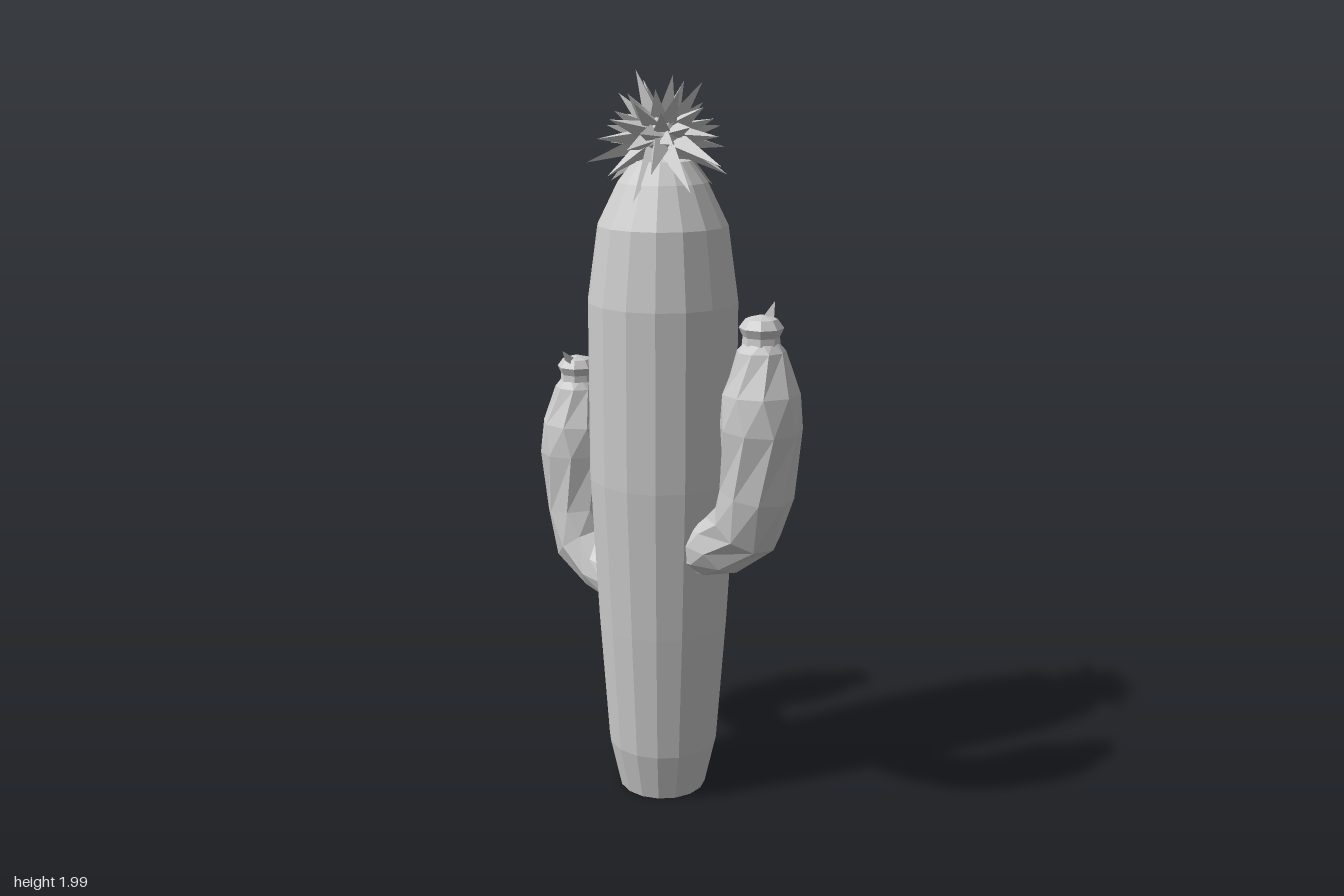
import * as THREE from 'three';

const mat = new THREE.MeshStandardMaterial({ color: 0xcccccc, flatShading: true });

function part(name, geometry, parent) {
  const mesh = new THREE.Mesh(geometry, mat);
  mesh.name = name;
  parent.add(mesh);
  return mesh;
}

function lathe(points, sides) {
  return new THREE.LatheGeometry(points.map(([r, y]) => new THREE.Vector2(r, y)), sides);
}

// Faceted limb: rings of varying radius following [x, y, radius] stations
function limb(stations, sides) {
  const pos = [], idx = [];
  stations.forEach(([x, y, r], i) => {
    const a = stations[Math.max(i - 1, 0)], b = stations[Math.min(i + 1, stations.length - 1)];
    const t = new THREE.Vector2(b[0] - a[0], b[1] - a[1]).normalize();
    for (let j = 0; j < sides; j++) {
      const ang = ((j + (i % 2) * 0.35) / sides) * Math.PI * 2;
      const c = Math.cos(ang) * r;
      pos.push(x + t.y * c, y - t.x * c, -Math.sin(ang) * r);
    }
  });
  for (let i = 0; i < stations.length - 1; i++) {
    for (let j = 0; j < sides; j++) {
      const k = (j + 1) % sides;
      const a = i * sides + j, b = i * sides + k, c = a + sides, d = b + sides;
      idx.push(a, b, d, a, d, c);
    }
  }
  // Close both ends
  const last = (stations.length - 1) * sides;
  for (let j = 1; j < sides - 1; j++) {
    idx.push(0, j + 1, j, last, last + j, last + j + 1);
  }
  const g = new THREE.BufferGeometry();
  g.setAttribute('position', new THREE.Float32BufferAttribute(pos, 3));
  g.setIndex(idx);
  g.computeVertexNormals();
  return g;
}

// Three-sided spike from a point along a direction
function spike(name, origin, dir, radius, length, parent) {
  const g = new THREE.ConeGeometry(radius, length, 3, 1).translate(0, length / 2, 0);
  const m = part(name, g, parent);
  m.position.copy(origin);
  m.quaternion.setFromUnitVectors(new THREE.Vector3(0, 1, 0), dir.clone().normalize());
  return m;
}

// Upturned arm with a bud and a single thorn
function arm(name, root) {
  const group = new THREE.Group();
  group.name = name;
  part(name + 'Limb', limb([
    ...root, [0.345, 0.86, 0.094], [0.378, 0.96, 0.097],
    [0.39, 1.13, 0.106], [0.388, 1.22, 0.099], [0.386, 1.325, 0.062], [0.385, 1.352, 0.04],
  ], 9), group);
  const bud = part(name + 'Bud', lathe([
    [0, 1.34], [0.048, 1.343], [0.046, 1.362], [0.056, 1.384], [0.04, 1.406], [0, 1.417],
  ], 8), group);
  bud.position.x = 0.385;
  spike(name + 'Thorn', new THREE.Vector3(0.382, 1.385, -0.015),
    new THREE.Vector3(-0.02, 0.055, -0.052), 0.022, 0.078, group);
  return group;
}

export function createModel() {
  const model = new THREE.Group();
  model.name = 'cactus';

  // Trunk
  const trunk = part('trunk', lathe([
    [0, 0], [0.122, 0], [0.153, 0.14], [0.178, 0.5], [0.2, 0.92], [0.2, 1.4],
    [0.172, 1.6], [0.118, 1.71], [0.075, 1.765], [0, 1.77],
  ], 16), model);
  trunk.position.x = 0.004;

  // Arms: the right one is turned half round and set lower
  model.add(arm('leftArm', [[0.1, 0.735, 0.06], [0.19, 0.755, 0.073], [0.26, 0.79, 0.084]]));
  const right = arm('rightArm', [[0.1, 0.755, 0.06], [0.18, 0.785, 0.07], [0.26, 0.81, 0.08]]);
  right.rotation.y = Math.PI;
  right.position.y = -0.228;
  model.add(right);

  // Spiky crown: spikes spread evenly, longer towards the bottom
  const crown = new THREE.Group();
  crown.name = 'crown';
  crown.position.y = 1.83;
  model.add(crown);
  part('crownCore', new THREE.IcosahedronGeometry(0.065, 1), crown);
  const count = 46;
  for (let i = 0; i < count; i++) {
    const y = 0.96 - (1.68 * i) / (count - 1);
    const h = Math.sqrt(1 - y * y), a = i * 2.39996;
    const dir = new THREE.Vector3(Math.cos(a) * h, y, Math.sin(a) * h);
    const reach = (y < -0.3 ? 0.205 : 0.155) + 0.02 * Math.sin(i * 1.7);
    const s = spike('crownSpike', dir.clone().multiplyScalar(0.045), dir, 0.03, reach - 0.045, crown);
    s.rotateY(i * 1.3);
  }
  return model;
}
